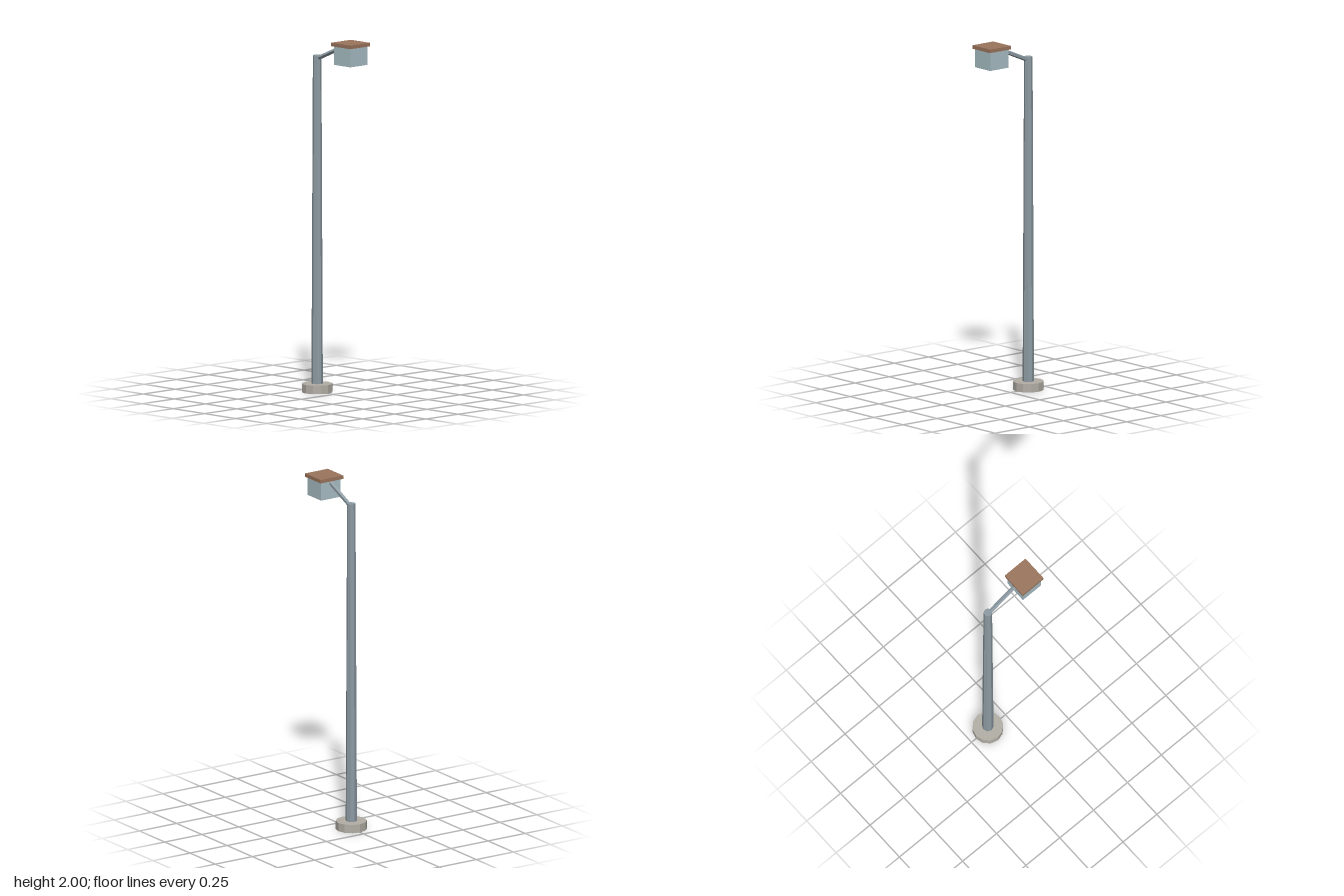
import * as THREE from 'three';

const material = (color) => new THREE.MeshStandardMaterial({ color, flatShading: true });

export function createModel() {
  const group = new THREE.Group();
  const metal = material(0x8d9ba3);
  const poleX = -0.13;
  const lampX = 0.138;

  const add = (name, geometry, mat, x, y, z = 0) => {
    const mesh = new THREE.Mesh(geometry, mat);
    mesh.name = name;
    mesh.position.set(x, y, z);
    group.add(mesh);
    return mesh;
  };

  // Twelve-sided footing
  add('base', new THREE.CylinderGeometry(0.087, 0.087, 0.048, 12), material(0xb3afa6), poleX, 0.024);

  // Tapered octagonal pole
  const poleBottom = 0.03, poleTop = 1.9;
  add('pole', new THREE.CylinderGeometry(0.024, 0.032, poleTop - poleBottom, 8), metal,
    poleX, (poleBottom + poleTop) / 2);

  // Five-sided arm rising from the pole into the lamp
  const start = new THREE.Vector2(poleX, 1.88);
  const end = new THREE.Vector2(0.085, 1.973);
  const span = end.clone().sub(start);
  const arm = add('arm', new THREE.CylinderGeometry(0.0125, 0.0125, span.length(), 5), metal,
    (start.x + end.x) / 2, (start.y + end.y) / 2);
  arm.rotation.z = span.angle() - Math.PI / 2;

  // Square lamp box with an overhanging flat roof
  add('lampBox', new THREE.BoxGeometry(0.132, 0.106, 0.132), material(0xa9c0c7), lampX, 1.928);
  add('lampRoof', new THREE.BoxGeometry(0.153, 0.02, 0.153), material(0x9b755c), lampX, 1.99);

  return group;
}
